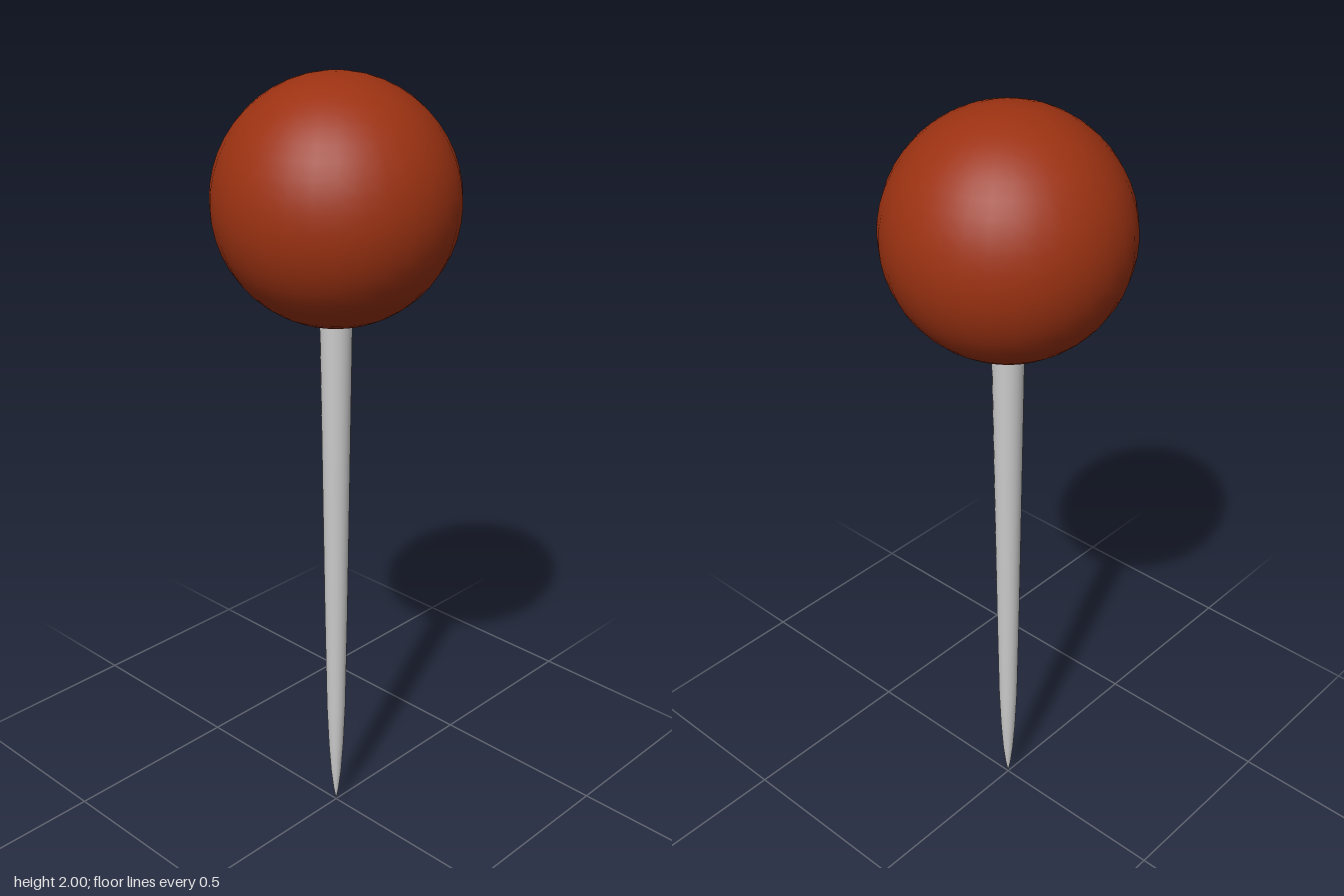
import * as THREE from 'three';

export function createModel() {
  const group = new THREE.Group();

  // Round head
  const head = new THREE.Mesh(
    new THREE.SphereGeometry(0.295, 32, 24),
    new THREE.MeshStandardMaterial({ color: 0x9c3212 })
  );
  head.name = 'head';
  head.position.y = 1.705;
  group.add(head);

  // Tapered shaft with a sharpened tip, its top sunk into the head
  const profile = [
    [0, 0], [0.007, 0.04], [0.014, 0.1], [0.02, 0.19], [0.025, 0.31],
    [0.03, 0.6], [0.035, 1], [0.04, 1.42], [0.04, 1.5], [0, 1.5],
  ].map(([r, y]) => new THREE.Vector2(r, y));
  const shaft = new THREE.Mesh(
    new THREE.LatheGeometry(profile, 24),
    new THREE.MeshStandardMaterial({ color: 0xcccccc })
  );
  shaft.name = 'shaft';
  group.add(shaft);

  return group;
}
